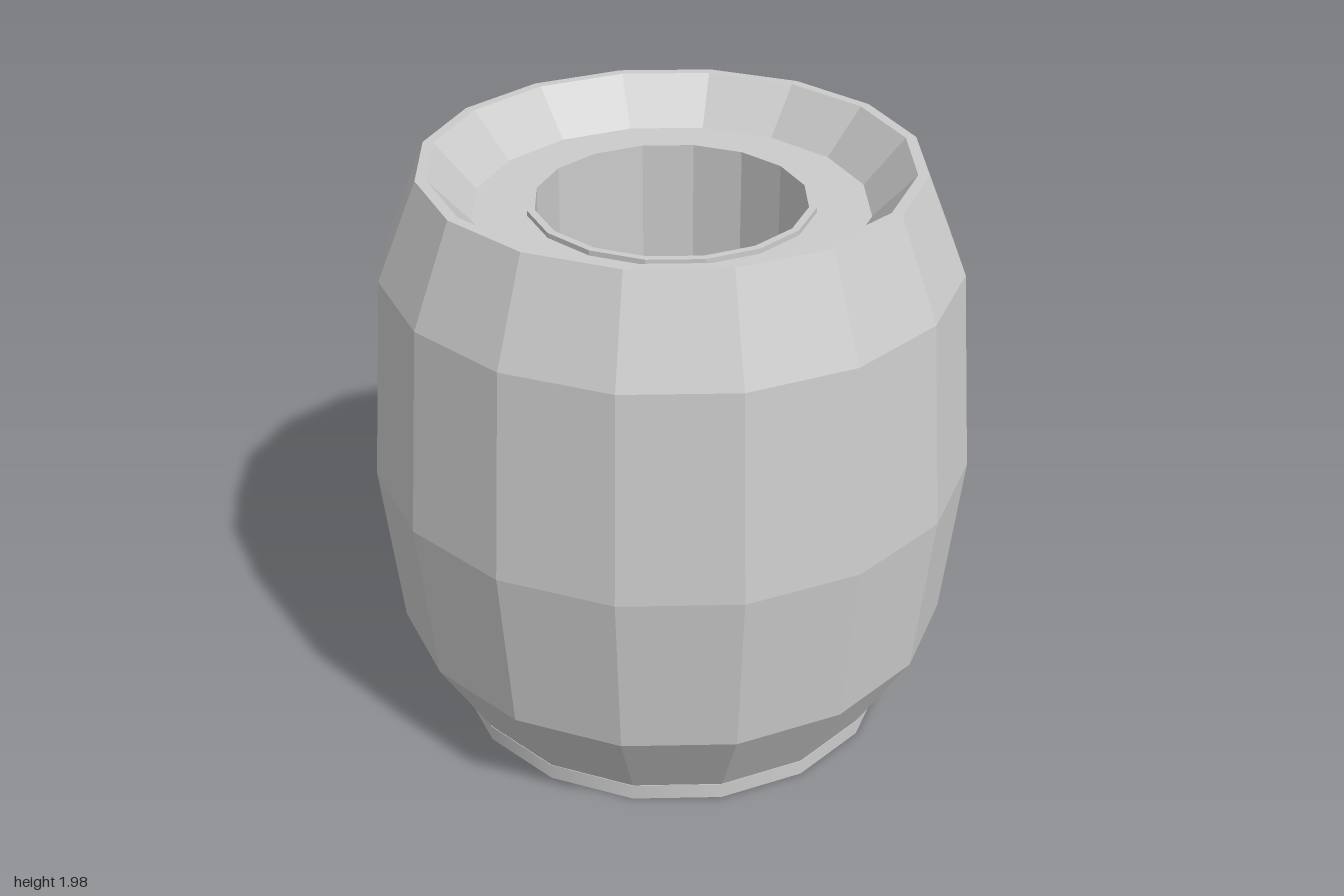
import * as THREE from 'three';

const SIDES = 16;

export function createModel() {
  const model = new THREE.Group();
  const faceted = new THREE.MeshStandardMaterial({ color: 0xcccccc, flatShading: true });
  const smooth = new THREE.MeshStandardMaterial({ color: 0xcccccc });

  const add = (name, geometry, material) => {
    const mesh = new THREE.Mesh(geometry, material);
    mesh.name = name;
    model.add(mesh);
    return mesh;
  };
  // Profiles run up the outside and down the inside, as [radius, height]
  const lathe = (profile) =>
    new THREE.LatheGeometry(profile.map(([r, y]) => new THREE.Vector2(r, y)), SIDES);

  // Round foot under the barrel
  const foot = add('foot', new THREE.CylinderGeometry(0.757, 0.757, 0.055, SIDES), smooth);
  foot.position.y = 0.0275;

  // Bulging barrel wall, flat rim and sloped recess down to the ledge
  add('barrel', lathe([
    [0.755, 0.055], [0.94, 0.37], [1, 0.95], [0.945, 1.645], [0.81, 1.975],
    [0.775, 1.975], [0.64, 1.825], [0.455, 1.825],
  ]), faceted);

  // Central well: slightly raised lip, straight wall and closed floor
  add('well', lathe([
    [0.465, 1.82], [0.465, 1.842], [0.44, 1.842], [0.44, 0.06], [0, 0.06],
  ]), faceted);

  return model;
}
